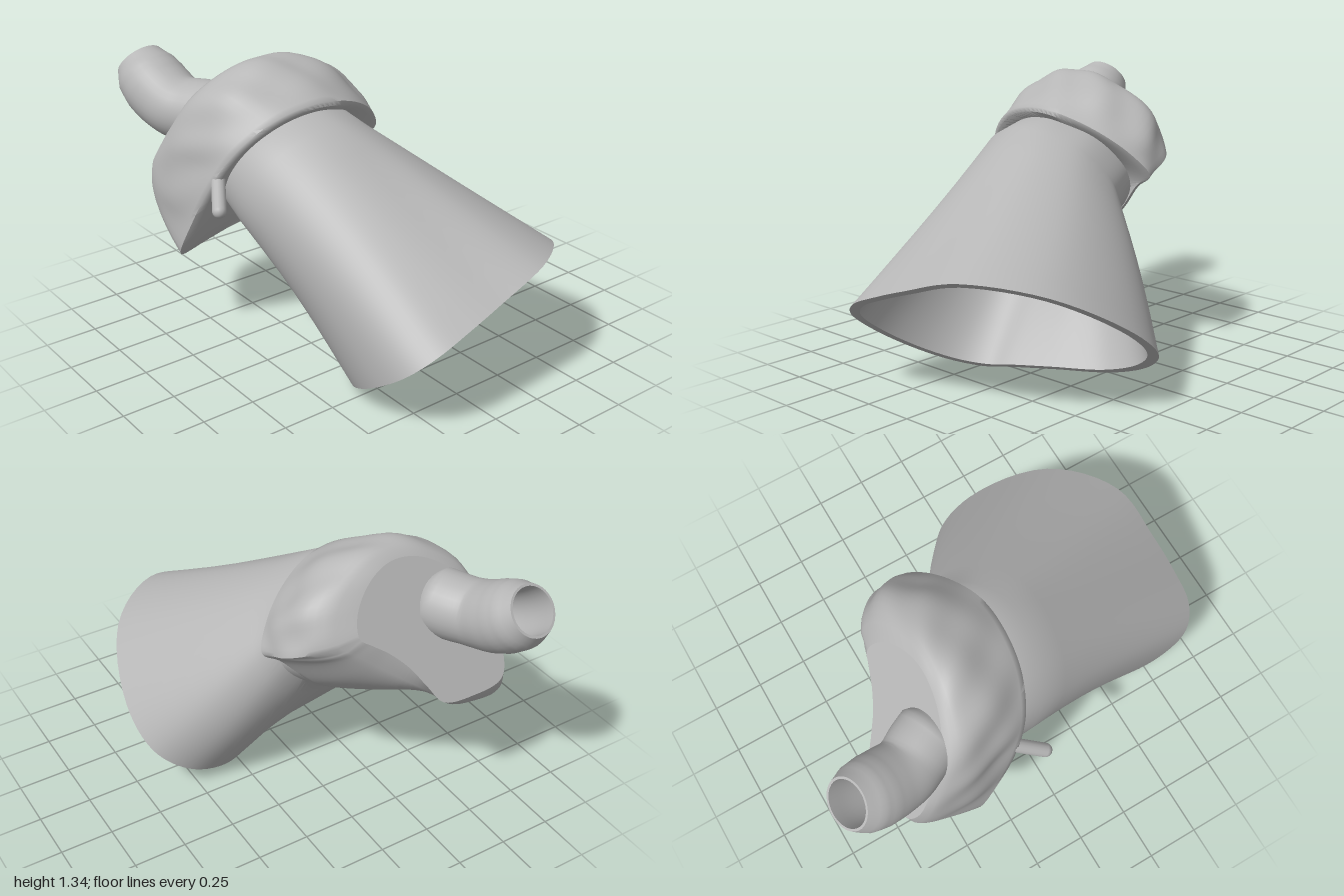
import * as THREE from 'three';
import { toCreasedNormals } from 'three/addons/utils/BufferGeometryUtils.js';

const V = (x, y, z) => new THREE.Vector3(x, y, z);
const { smoothstep, lerp } = THREE.MathUtils;

// Closed smooth outline from [z, y] pairs; x comes from the cutting plane.
function outline(pairs, planeX, n) {
  const curve = new THREE.CatmullRomCurve3(
    pairs.map(([z, y]) => V(planeX(y, z), y, z)), true);
  return Array.from({ length: n }, (_, i) => curve.getPoint(i / n));
}

// Skin over a list of closed rings with equal point counts.
function loft(rings, crease = 0.7) {
  const n = rings[0].length, index = [];
  for (let i = 0; i < rings.length - 1; i++) {
    for (let j = 0; j < n; j++) {
      const a = i * n + j, b = i * n + (j + 1) % n;
      index.push(a, b, a + n, b, b + n, a + n);
    }
  }
  const g = new THREE.BufferGeometry().setFromPoints(rings.flat());
  g.setIndex(index);
  return toCreasedNormals(g, crease);
}

// Flat end face of a ring, facing -x.
function backCap(ring) {
  const tris = THREE.ShapeUtils.triangulateShape(
    ring.map(p => new THREE.Vector2(p.z, p.y)), []);
  const pts = [];
  for (const [a, b, c] of tris) {
    const [p, q, r] = [ring[a], ring[b], ring[c]];
    const nx = q.clone().sub(p).cross(r.clone().sub(p)).x;
    pts.push(...(nx < 0 ? [p, q, r] : [p, r, q]));
  }
  const g = new THREE.BufferGeometry().setFromPoints(pts);
  g.computeVertexNormals();
  return g;
}

export function createModel() {
  const model = new THREE.Group();
  const grey = new THREE.MeshStandardMaterial({ color: 0xb6b6b6, side: THREE.DoubleSide });
  grey.name = 'plain grey';
  const add = (name, geometry, parent = model) => {
    const m = new THREE.Mesh(geometry, grey);
    m.name = name;
    parent.add(m);
    return m;
  };

  // Hollow flared body: neck ring swept to the slanted kidney-shaped rim
  const N = 96;
  const neck = outline([
    [.15, 1.105], [.3, 1.09], [.45, 1.02], [.54, .92], [.57, .8], [.54, .68],
    [.46, .6], [.35, .56], [.2, .55], [.05, .57], [-.08, .64], [-.17, .74],
    [-.19, .85], [-.15, .95], [-.08, 1.03], [.03, 1.08],
  ], (y, z) => .09 + .5 * (y - 1.1) - .45 * smoothstep(-z, -.1, .25) * .2, N);
  const rim = outline([
    [0, .555], [.18, .495], [.34, .43], [.435, .35], [.46, .23], [.415, .1],
    [.33, .025], [.22, 0], [.1, .015], [-.1, .03], [-.35, .045], [-.55, .115],
    [-.685, .225], [-.715, .38], [-.57, .58], [-.28, .632],
  ], (y, z) => .21 + 1.413 * y + .522 * z, N);
  const neckMid = V(-.06, .83, .2), rimMid = V(.585, .31, -.12);
  const scaled = (ring, mid, k, shift = V(0, 0, 0)) =>
    ring.map(p => p.clone().sub(mid).multiplyScalar(k).add(mid).add(shift));
  const between = (a, b, t) => a.map((p, i) => {
    const q = p.clone().lerp(b[i], t), arc = Math.sin(Math.PI * t);
    q.z -= .02 * arc * smoothstep(q.z, .2, .5);
    q.x -= .02 * arc * smoothstep(-q.z, -.1, .4);
    return q;
  });
  const wall = (k, kr) => [
    scaled(neck, neckMid, .3 * k, V(-.42, .23, .2)),
    scaled(neck, neckMid, .75 * k, V(-.24, .1, .07)),
    scaled(neck, neckMid, .95 * k, V(-.13, .05, .01)),
    ...[0, .15, .3, .45, .6, .75, .9, 1].map(t =>
      between(scaled(neck, neckMid, k), scaled(rim, rimMid, kr), t)),
  ];
  add('flaredBody', loft([...wall(1, 1), ...wall(.9, .93).reverse()]));

  // Thick wrinkled cuff wrapped around the neck
  const back = outline([
    [-.02, 1.06], [0, 1.15], [.1, 1.25], [.22, 1.295], [.35, 1.28], [.48, 1.21],
    [.58, 1.1], [.64, .93], [.66, .8], [.62, .72], [.45, .7], [.3, .72],
    [.24, .8], [.18, .89], [.1, .97], [.03, 1.02],
  ], y => -.41 + .56 * (y - 1.29), N);
  const front = outline([
    [-.31, .9], [-.25, 1], [-.12, 1.1], [.05, 1.17], [.22, 1.19], [.4, 1.15],
    [.55, 1.04], [.63, .9], [.685, .65], [.69, .445], [.61, .47], [.5, .535],
    [.36, .575], [.11, .605], [-.08, .69], [-.23, .84],
  ], (y, z) => .54 * (y - 1.2) + .2 * Math.min(0, z), N);
  const cuffRings = [];
  const steps = 16;
  for (let i = 0; i <= steps; i++) {
    const s = i / steps;
    cuffRings.push(back.map((p, j) => {
      const f = front[j], u = j / N;
      const q = p.clone().lerp(f, Math.pow(s, .52));
      q.x = lerp(p.x, f.x, s);
      // Outward swell and shallow folds on the outer side only
      const outer = u > .9 ? smoothstep(u, .95, 1) : 1 - smoothstep(u, .44, .58);
      const thin = 1 - .6 * smoothstep(u, .3, .45) - .5 * smoothstep(Math.abs(u - .5), .42, .5);
      const swell = .1 * Math.sin(Math.PI * Math.pow(s, .62)) * thin;
      const fold = .007 * Math.sin(Math.PI * s) *
        (Math.sin(u * 75 + s * 4) + .7 * Math.sin(u * 41 - s * 9));
      const dir = V(0, q.y - .85, q.z - .22).normalize();
      return q.addScaledVector(dir, outer * (swell + fold));
    }));
  }
  // Front lip rolls over and closes inside the thickness of the neck wall
  const seat = scaled(neck, neckMid, .91, V(-.13, .05, .01));
  const inner = front.map((_, j) => seat[(j + N * 12 / 16) % N]);
  const lip = front.map((p, j) => p.clone().lerp(inner[j], .25).add(V(.014, -.006, 0)));
  cuffRings.push(lip, inner);
  const cuff = new THREE.Group();
  cuff.name = 'cuff';
  model.add(cuff);
  add('cuffSides', loft(cuffRings, 1), cuff);
  add('cuffBackFace', backCap(cuffRings[0]), cuff);

  // Bent hollow nozzle
  const path = new THREE.CatmullRomCurve3([
    V(-.41, 1.065, .405), V(-.53, 1.06, .455), V(-.65, 1.065, .515),
    V(-.75, 1.1, .535), V(-.85, 1.16, .55), V(-.93, 1.225, .558),
  ]);
  const S = 24, M = 32;
  const frames = path.computeFrenetFrames(S, false);
  const radii = [.1, .153, .152, .148, .152, .157, .158, .148, .115];
  const radiusAt = t => {
    const x = t * (radii.length - 1), k = Math.min(Math.floor(x), radii.length - 2);
    return lerp(radii[k], radii[k + 1], x - k);
  };
  const nozzleRing = (i, r) => {
    const c = path.getPointAt(i / S);
    return Array.from({ length: M }, (_, j) => {
      const a = j / M * Math.PI * 2;
      return c.clone()
        .addScaledVector(frames.normals[i], Math.cos(a) * r)
        .addScaledVector(frames.binormals[i], Math.sin(a) * r);
    });
  };
  const nozzleRings = [];
  for (let i = 0; i <= S; i++) nozzleRings.push(nozzleRing(i, radiusAt(i / S)));
  for (let i = S; i >= 0; i--) nozzleRings.push(nozzleRing(i, Math.min(.104, radiusAt(i / S) - .01)));
  add('nozzle', loft(nozzleRings));

  // Small round-ended peg on the side of the cuff
  const from = V(-.19, .875, .605), to = V(-.06, .79, .685);
  const along = to.clone().sub(from);
  const peg = add('peg', new THREE.CapsuleGeometry(.032, along.length(), 8, 16));
  peg.position.copy(from).add(to).multiplyScalar(.5);
  peg.quaternion.setFromUnitVectors(V(0, 1, 0), along.normalize());

  return model;
}
